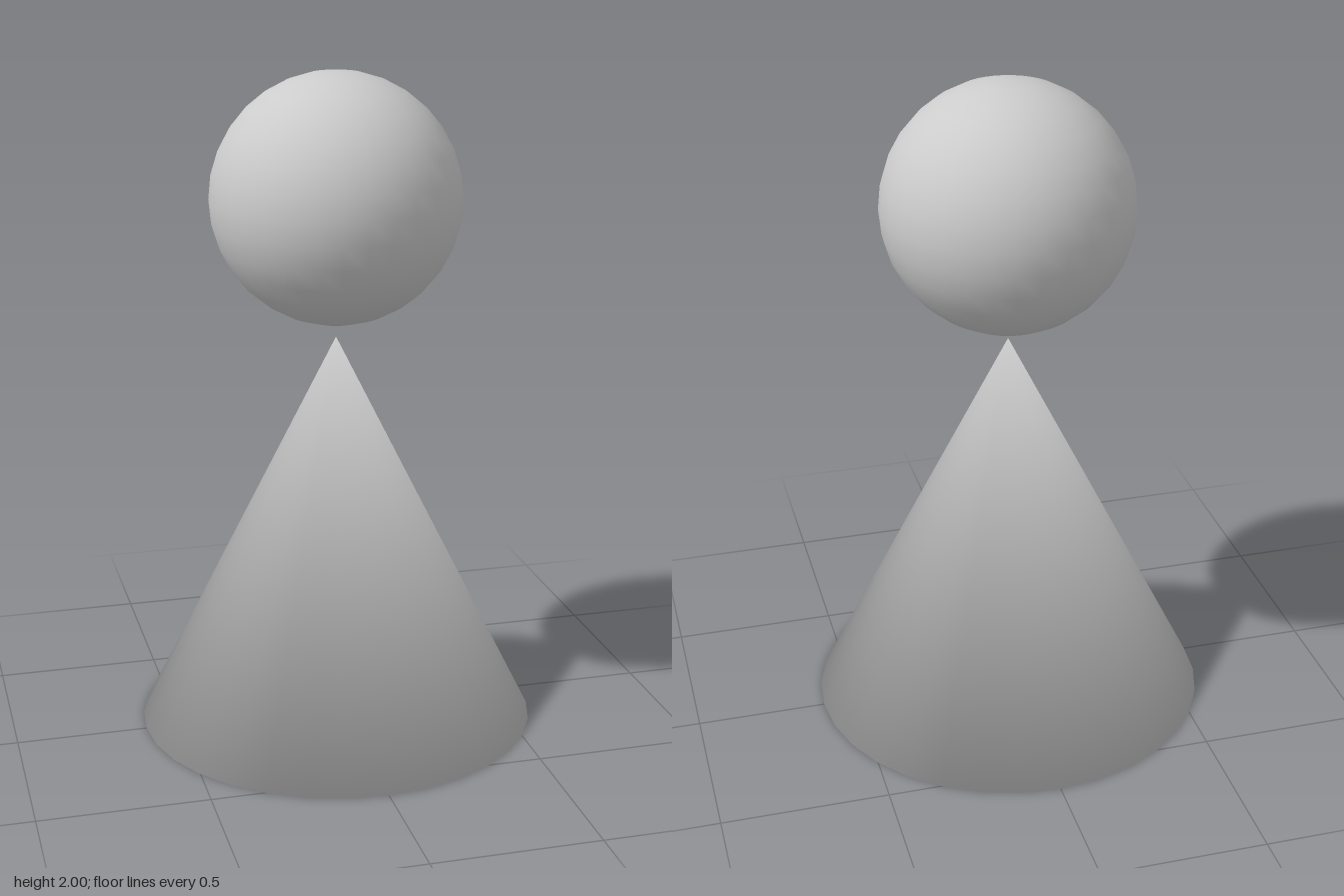
import * as THREE from 'three';

const SIDES = 32;

// Closed cone with one shared vertex per corner, so shading runs smoothly over the rim
function softCone(radius, height) {
  const positions = [0, height, 0];
  const normals = [0, 1, 0];
  const index = [];
  for (let i = 0; i < SIDES; i++) {
    const a = (i / SIDES) * Math.PI * 2;
    const x = Math.sin(a), z = Math.cos(a);
    positions.push(x * radius, 0, z * radius);
    // rim normal: halfway between the slope and the base
    normals.push(x * 0.85, -0.526, z * 0.85);
    index.push(0, 1 + i, 1 + ((i + 1) % SIDES));
    if (i > 0 && i < SIDES - 1) index.push(1, 2 + i, 1 + i);
  }
  const geometry = new THREE.BufferGeometry();
  geometry.setAttribute('position', new THREE.Float32BufferAttribute(positions, 3));
  geometry.setAttribute('normal', new THREE.Float32BufferAttribute(normals, 3));
  geometry.setIndex(index);
  return geometry;
}

export function createModel() {
  const group = new THREE.Group();
  const material = new THREE.MeshStandardMaterial({ color: 0xcccccc });

  // Conical body standing on the ground
  const body = new THREE.Mesh(softCone(0.605, 1.21), material);
  body.name = 'body';

  // Ball floating just above the tip
  const head = new THREE.Mesh(new THREE.SphereGeometry(0.373, SIDES, SIDES / 2), material);
  head.name = 'head';
  head.position.y = 1.627;

  group.add(body, head);
  return group;
}
